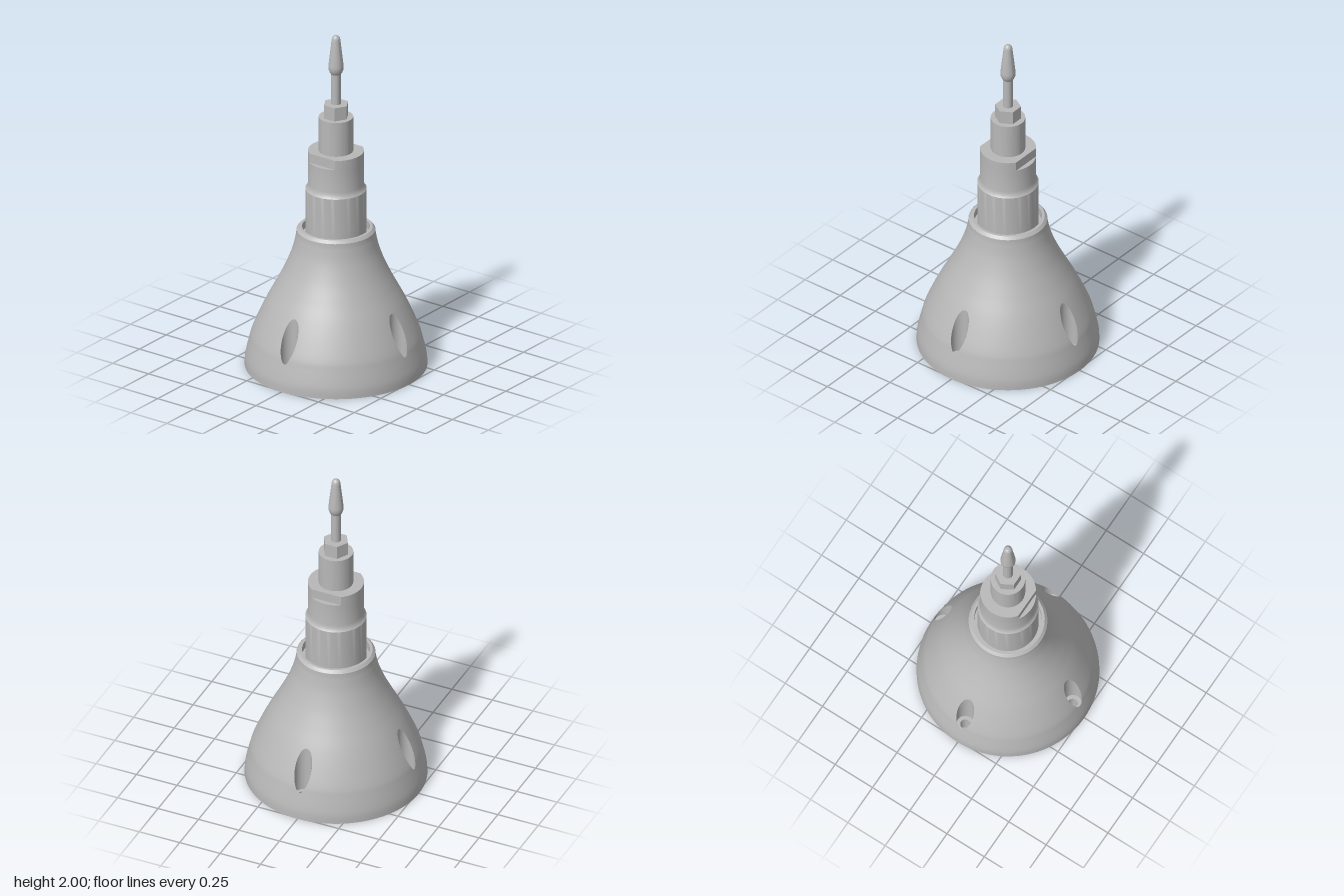
import * as THREE from 'three';
import { toCreasedNormals } from 'three/addons/utils/BufferGeometryUtils.js';

const SEG = 72;
const BOLT = 0.435, BORE = 0.05, HOLE = 0.028, FLOOR = 0.12; // bolt circle and counterbore sizes
const CAVITY = 0.355, CEILING = 0.15;

const metal = new THREE.MeshStandardMaterial({ color: 0xb8b8b8, side: THREE.DoubleSide });
metal.name = 'grey metal';

// Flared outline of the bell as (radius, height)
const profile = new THREE.SplineCurve([
  [0.512, 0], [0.508, 0.06], [0.486, 0.155], [0.47, 0.21], [0.43, 0.305], [0.385, 0.4],
  [0.332, 0.5], [0.283, 0.6], [0.245, 0.7], [0.226, 0.78], [0.221, 0.82],
].map(([r, y]) => new THREE.Vector2(r, y)));

function add(parent, name, geometry) {
  const mesh = new THREE.Mesh(geometry, metal);
  mesh.name = name;
  parent.add(mesh);
  return mesh;
}

function lathe(points) {
  const pts = points.map(([r, y]) => new THREE.Vector2(r, y));
  return toCreasedNormals(new THREE.LatheGeometry(pts, SEG), 0.45);
}

// Upright prism from a plan shape
function prism(shape, y0, y1) {
  const g = new THREE.ExtrudeGeometry(shape, { depth: y1 - y0, bevelEnabled: false, curveSegments: 36 });
  g.rotateX(-Math.PI / 2).translate(0, y0, 0);
  return toCreasedNormals(g, 0.45);
}

function circlePath(x, y, r) {
  return new THREE.Path().absarc(x, y, r, 0, Math.PI * 2, true);
}

function hexShape(r) {
  const pts = [];
  for (let i = 0; i < 6; i++) {
    const a = i * Math.PI / 3;
    pts.push(new THREE.Vector2(r * Math.cos(a), r * Math.sin(a)));
  }
  return new THREE.Shape(pts);
}

// One quarter of the bell skin; its side edges follow the counterbore openings
function bellQuarter() {
  const rows = 180, cols = 24, pos = [], nor = [], idx = [];
  for (let i = 0; i <= rows; i++) {
    const p = profile.getPoint(i / rows), t = profile.getTangent(i / rows);
    const c = (p.x * p.x + BOLT * BOLT - BORE * BORE) / (2 * p.x * BOLT);
    const w = Math.acos(Math.min(1, c));
    for (let j = 0; j <= cols; j++) {
      const a = w + (j / cols) * (Math.PI / 2 - 2 * w);
      pos.push(p.x * Math.sin(a), p.y, p.x * Math.cos(a));
      nor.push(t.y * Math.sin(a), -t.x, t.y * Math.cos(a));
      if (i < rows && j < cols) {
        const k = i * (cols + 1) + j, up = k + cols + 1;
        idx.push(k, k + 1, up + 1, k, up + 1, up);
      }
    }
  }
  const g = new THREE.BufferGeometry();
  g.setAttribute('position', new THREE.Float32BufferAttribute(pos, 3));
  g.setAttribute('normal', new THREE.Float32BufferAttribute(nor, 3));
  g.setIndex(idx);
  return g;
}

// Height of the bell skin at a given radius
function skinHeight(r) {
  let lo = 0, hi = 1;
  for (let i = 0; i < 30; i++) {
    const mid = (lo + hi) / 2;
    if (profile.getPoint(mid).x > r) lo = mid; else hi = mid;
  }
  return profile.getPoint(lo).y;
}

// Counterbore wall trimmed to the bell skin
function boreWall() {
  const g = new THREE.CylinderGeometry(BORE, BORE, 1, 64, 1, true);
  const p = g.attributes.position;
  for (let i = 0; i < p.count; i++) {
    const r = Math.hypot(p.getX(i), p.getZ(i) + BOLT);
    p.setY(i, p.getY(i) > 0 ? skinHeight(r) : FLOOR);
  }
  return g;
}

export function createModel() {
  const model = new THREE.Group();
  model.name = 'flangedProbe';

  // Bell with four counterbored screw holes
  const bell = new THREE.Group();
  bell.name = 'bell';
  model.add(bell);
  const skin = bellQuarter(), wall = boreWall();
  const seat = new THREE.RingGeometry(HOLE, BORE, 48).rotateX(-Math.PI / 2);
  const through = new THREE.CylinderGeometry(HOLE, HOLE, FLOOR, 36, 1, true);
  const base = new THREE.Shape().absarc(0, 0, 0.512, 0, Math.PI * 2, false);
  base.holes.push(circlePath(0, 0, CAVITY));
  for (let q = 0; q < 4; q++) {
    const a = q * Math.PI / 2;
    const quarter = new THREE.Group();
    quarter.name = 'bellQuarter';
    quarter.rotation.y = a;
    bell.add(quarter);
    add(quarter, 'bellSkin', skin);
    add(quarter, 'counterboreWall', wall).position.z = BOLT;
    add(quarter, 'counterboreSeat', seat).position.set(0, FLOOR, BOLT);
    add(quarter, 'screwHole', through).position.set(0, FLOOR / 2, BOLT);
    base.holes.push(circlePath(BOLT * Math.cos(a), BOLT * Math.sin(a), HOLE));
  }
  add(bell, 'baseRing', new THREE.ShapeGeometry(base, 48).rotateX(Math.PI / 2));
  add(bell, 'cavityWall', new THREE.CylinderGeometry(CAVITY, CAVITY, CEILING, SEG, 1, true))
    .position.y = CEILING / 2;
  add(bell, 'cavityCeiling', new THREE.CircleGeometry(CAVITY, SEG).rotateX(Math.PI / 2))
    .position.y = CEILING;
  add(bell, 'bellRim', lathe([[0.221, 0.82], [0.206, 0.836], [0.19, 0.836], [0.19, 0.79], [0.165, 0.79]]));

  // Hex nut with a bore, inside the cavity
  const nut = hexShape(0.105);
  nut.holes.push(circlePath(0, 0, 0.035));
  add(model, 'lowerNut', prism(nut, 0, CEILING));

  // Stepped body, with two wrench flats at its top
  add(model, 'body', lathe([
    [0.172, 0.79], [0.172, 1.07], [0.165, 1.078], [0.16, 1.09], [0.157, 1.105],
    [0.157, 1.245], [0, 1.245],
  ]));
  const flat = Math.asin(0.129 / 0.157);
  const collar = new THREE.Shape();
  collar.absarc(0, 0, 0.157, -flat, flat, false);
  collar.absarc(0, 0, 0.157, Math.PI - flat, Math.PI + flat, false);
  collar.closePath();
  add(model, 'wrenchFlats', prism(collar, 1.245, 1.3));

  // Neck, upper nut and probe pin
  add(model, 'neck', lathe([[0.097, 1.3], [0.097, 1.505], [0, 1.505]]));
  add(model, 'upperNut', prism(hexShape(0.074), 1.505, 1.585));
  add(model, 'pin', lathe([
    [0.028, 1.585], [0.028, 1.765], [0.035, 1.775], [0.041, 1.79], [0.043, 1.808], [0.042, 1.82],
    [0.025, 1.97], [0.023, 1.983], [0.017, 1.993], [0.009, 1.999], [0, 2],
  ]));
  return model;
}
